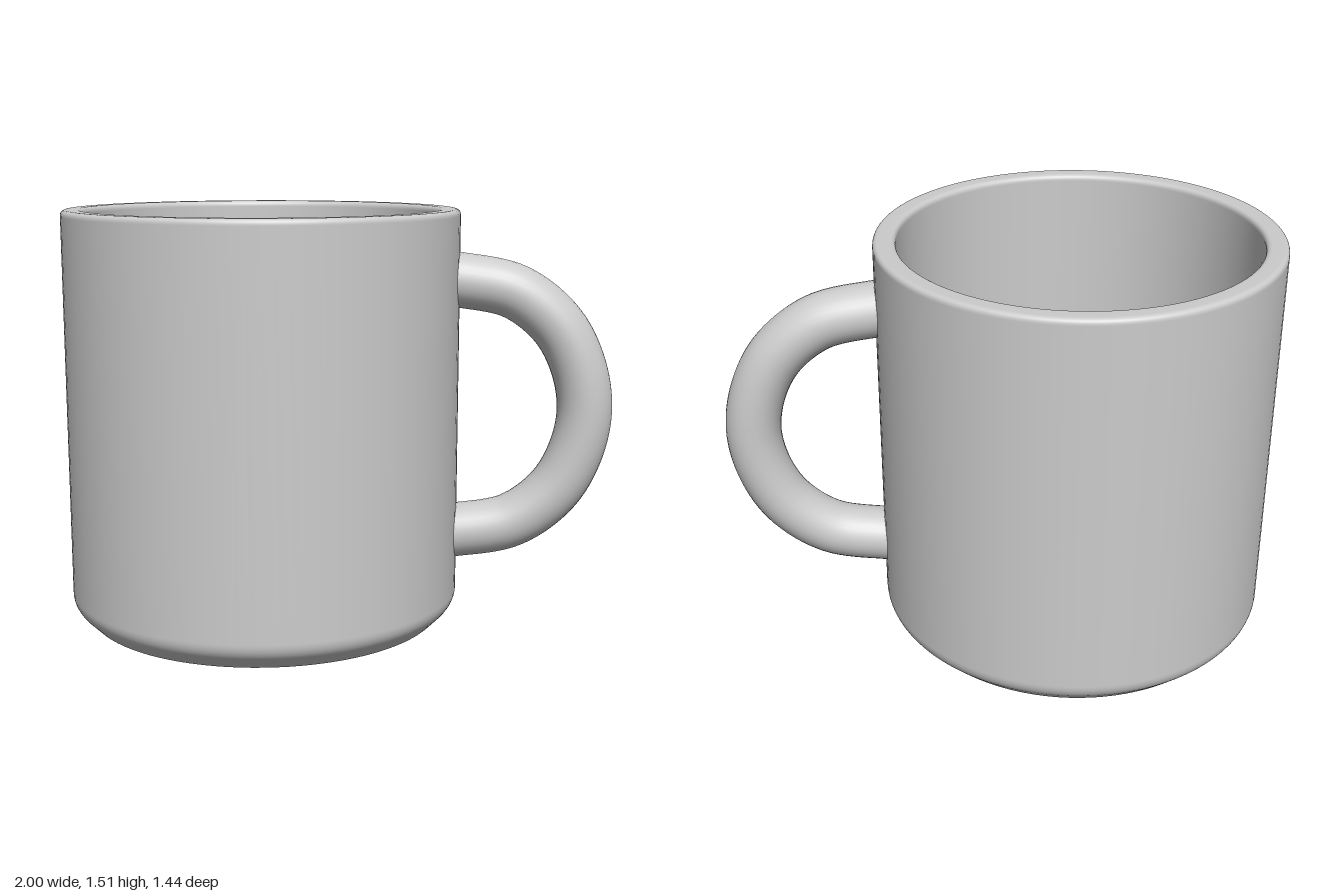
import * as THREE from 'three';

const material = new THREE.MeshStandardMaterial({ color: 0xcccccc });

// Profile through [radius, height, fillet] corners, each corner rounded by its fillet length
function roundedProfile(corners) {
  const v = corners.map(([x, y]) => new THREE.Vector2(x, y));
  const path = new THREE.Path();
  path.moveTo(v[0].x, v[0].y);
  for (let i = 1; i < v.length - 1; i++) {
    const toward = (p) => p.clone().sub(v[i]).setLength(corners[i][2]).add(v[i]);
    const a = toward(v[i - 1]);
    const b = toward(v[i + 1]);
    path.lineTo(a.x, a.y);
    path.quadraticCurveTo(v[i].x, v[i].y, b.x, b.y);
  }
  const end = v[v.length - 1];
  path.lineTo(end.x, end.y);
  return path.getPoints(10);
}

export function createModel() {
  const group = new THREE.Group();
  group.name = 'mug';

  // Cup: recessed foot, bevelled base, straight wall, rounded rim, inner wall and floor
  const profile = roundedProfile([
    [0, 0.03],
    [0.54, 0.03, 0.008],
    [0.55, 0, 0.008],
    [0.65, 0, 0.008],
    [0.72, 0.07, 0.035],
    [0.72, 1.51, 0.022],
    [0.64, 1.51, 0.022],
    [0.64, 0.1, 0.03],
    [0, 0.1],
  ]);
  const cup = new THREE.Mesh(new THREE.LatheGeometry(profile, 96), material);
  cup.name = 'cup';
  cup.position.x = -0.28;
  group.add(cup);

  // Handle: upper half of the centre line mirrored about mid height, ends sunk in the wall
  const midY = 0.79;
  const upper = [[0.38, 0.473], [0.44, 0.466], [0.64, 0.425], [0.79, 0.31], [0.87, 0.165]];
  const line = [
    ...upper.map(([x, y]) => new THREE.Vector3(x, midY + y, 0)),
    new THREE.Vector3(0.9, midY, 0),
    ...upper.map(([x, y]) => new THREE.Vector3(x, midY - y, 0)).reverse(),
  ];
  const tube = new THREE.TubeGeometry(new THREE.CatmullRomCurve3(line), 64, 0.1, 32);
  const handle = new THREE.Mesh(tube, material);
  handle.name = 'handle';
  handle.scale.z = 1.05;
  group.add(handle);

  return group;
}
